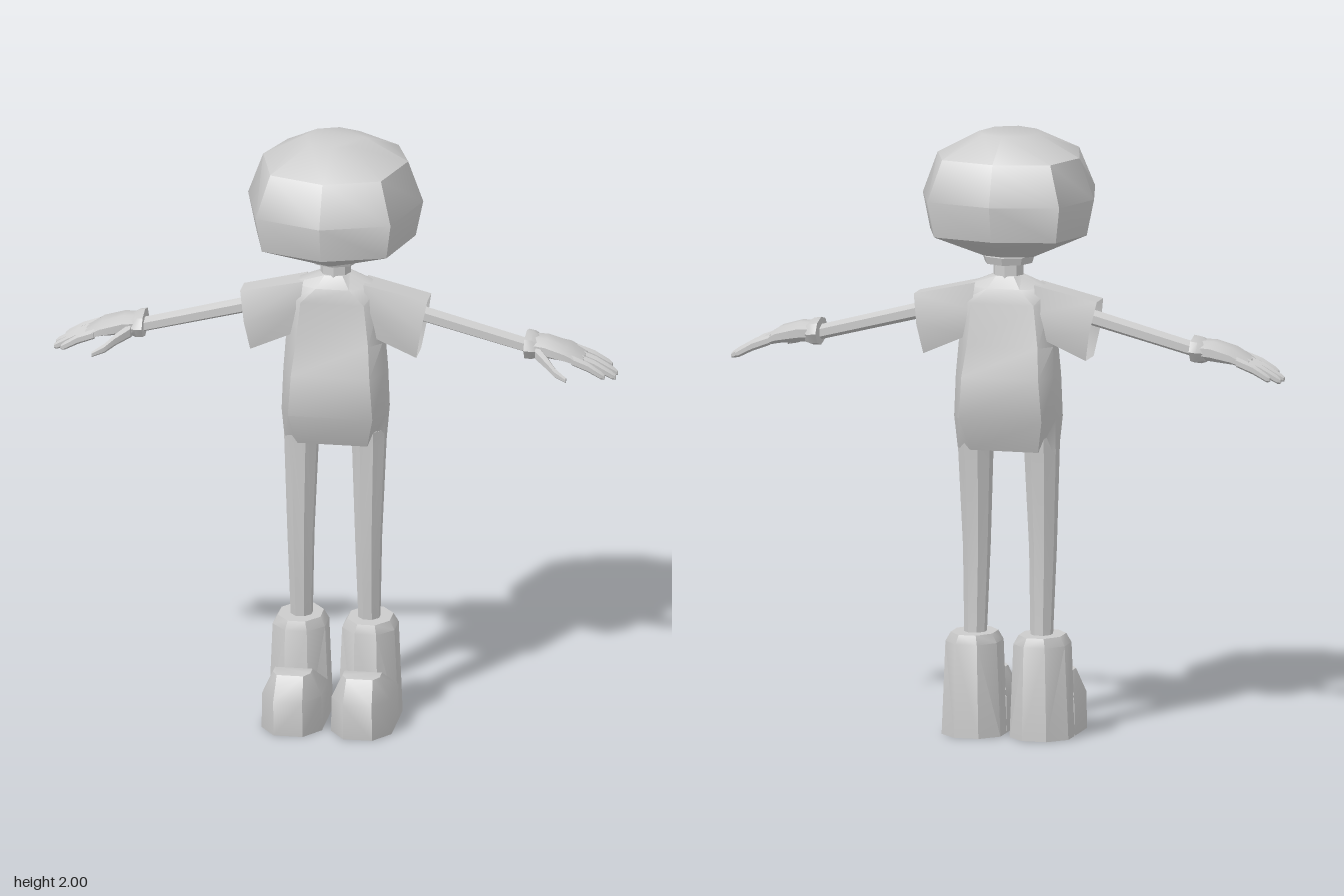
import * as THREE from 'three';
import { toCreasedNormals } from 'three/addons/utils/BufferGeometryUtils.js';

const MID_Z = -0.045; // depth of the body's centre line

// Skin a list of equal-length rings of [x, y, z]; winding is corrected to face outward.
function loft(rings, { capped = true, crease = 0.7 } = {}) {
  const n = rings[0].length;
  const points = rings.flat();
  const faces = [];
  for (let r = 0; r < rings.length - 1; r++) {
    for (let i = 0; i < n; i++) {
      const a = r * n + i, b = r * n + (i + 1) % n;
      faces.push([a, b, b + n], [a, b + n, a + n]);
    }
  }
  if (capped) {
    const last = (rings.length - 1) * n;
    for (let i = 1; i < n - 1; i++) faces.push([0, i + 1, i], [last, last + i, last + i + 1]);
  }
  const v = points.map((p) => new THREE.Vector3(...p));
  const centre = v.reduce((s, p) => s.add(p), new THREE.Vector3()).divideScalar(v.length);
  const rel = v.map((p) => p.clone().sub(centre));
  let volume = 0;
  for (const [a, b, c] of faces) volume += rel[a].dot(rel[b].clone().cross(rel[c]));
  if (volume < 0) faces.forEach((f) => f.reverse());
  const geometry = new THREE.BufferGeometry();
  geometry.setAttribute('position', new THREE.Float32BufferAttribute(points.flat(), 3));
  geometry.setIndex(faces.flat());
  return toCreasedNormals(geometry, crease);
}

// Elliptical rings standing across the x axis: [x, y, z, ry, rz]
const acrossX = (sections, n, side, phase = 0) => sections.map(([x, y, z, ry, rz]) =>
  Array.from({ length: n }, (_, i) => {
    const a = (i / n) * Math.PI * 2 + phase;
    return [x * side, y + ry * Math.cos(a), z + rz * Math.sin(a)];
  }));

// Flat elliptical rings stacked along y: [x, y, z, rx, rz]
const acrossY = (sections, n, side = 1, phase = 0) => sections.map(([x, y, z, rx, rz]) =>
  Array.from({ length: n }, (_, i) => {
    const a = (i / n) * Math.PI * 2 + phase;
    return [(x + rx * Math.cos(a)) * side, y, z + rz * Math.sin(a)];
  }));

export function createModel() {
  const model = new THREE.Group();
  const grey = new THREE.MeshStandardMaterial({ color: 0xcccccc });
  const greyOpen = new THREE.MeshStandardMaterial({ color: 0xcccccc, side: THREE.DoubleSide });
  const add = (name, geometry, parent = model, material = grey) => {
    const mesh = new THREE.Mesh(geometry, material);
    mesh.name = name;
    parent.add(mesh);
  };

  // Head: boxy octagonal rings [y, half width, front z, back z, corner bulge]
  const headRings = [
    [1.59, 0.085, 0.08, -0.10, 1], [1.67, 0.265, 0.26, -0.26, 1.1],
    [1.79, 0.29, 0.29, -0.29, 1.09], [1.925, 0.24, 0.225, -0.245, 1.08],
    [2.0, 0.1, 0.08, -0.13, 1],
  ].map(([y, w, front, back, bulge]) => Array.from({ length: 8 }, (_, i) => {
    const a = (i / 8) * Math.PI * 2;
    const k = i % 2 ? bulge : 1;
    const c = Math.cos(a), s = Math.sin(a);
    return [w * c * k, y, (s > 0 ? front : -back) * s * k + MID_Z * c ** 4];
  }));
  add('head', loft(headRings));
  add('collar', loft(acrossY([[0, 1.57, MID_Z, 0.08, 0.08], [0, 1.595, MID_Z, 0.088, 0.088]], 8)));
  add('neck', loft(acrossY([[0, 1.48, MID_Z, 0.052, 0.05], [0, 1.58, MID_Z, 0.05, 0.047]], 8)));

  // Torso: [y, panel half width, side half width, front z, back z]
  const torsoRings = [
    [0.95, 0.115, 0.165, 0.02, -0.10], [1.06, 0.14, 0.172, 0.07, -0.15],
    [1.2, 0.13, 0.166, 0.07, -0.155], [1.3, 0.12, 0.16, 0.035, -0.125],
    [1.44, 0.105, 0.15, 0.03, -0.12], [1.49, 0.055, 0.145, 0.025, -0.11],
    [1.53, 0.03, 0.05, 0.0, -0.09],
  ].map(([y, p, s, f, b]) => {
    const q = (f - b) * 0.2;
    return [[p, y, f], [s, y, MID_Z + q], [s, y, MID_Z - q], [p, y, b],
      [-p, y, b], [-s, y, MID_Z - q], [-s, y, MID_Z + q], [-p, y, f]];
  });
  add('torso', loft(torsoRings));

  for (const side of [1, -1]) {
    const label = side > 0 ? 'left' : 'right';

    // Sleeve: open flared rings [top x, top y, bottom x, bottom y, half depths top / middle / bottom]
    const sleeve = [
      [0.1, 1.505, 0.12, 1.33, 0.05, 0.06, 0.05],
      [0.31, 1.457, 0.275, 1.262, 0.04, 0.072, 0.05],
    ].map(([tx, ty, bx, by, t, m, b]) => {
      const mx = (tx + bx) / 2 * side, my = (ty + by) / 2;
      return [[tx * side, ty, MID_Z + t], [mx, my, MID_Z + m], [bx * side, by, MID_Z + b],
        [bx * side, by, MID_Z - b], [mx, my, MID_Z - m], [tx * side, ty, MID_Z - t]];
    });
    add(label + 'Sleeve', loft(sleeve, { capped: false }), model, greyOpen);

    add(label + 'Arm', loft(acrossX([
      [0.15, 1.435, MID_Z - 0.003, 0.028, 0.033], [0.66, 1.302, MID_Z - 0.003, 0.025, 0.033],
    ], 6, side)));

    // Glove: cuff, palm, four fingers and a thumb
    const hand = new THREE.Group();
    hand.name = label + 'Hand';
    model.add(hand);
    add('cuff', loft(acrossX([
      [0.632, 1.313, -0.052, 0.046, 0.075], [0.655, 1.31, -0.052, 0.045, 0.072],
      [0.675, 1.307, -0.052, 0.036, 0.056],
    ], 8, side)), hand);
    add('palm', loft(acrossX([
      [0.65, 1.312, -0.052, 0.034, 0.056], [0.70, 1.31, -0.05, 0.036, 0.068],
      [0.77, 1.296, -0.048, 0.028, 0.08], [0.825, 1.272, -0.05, 0.015, 0.074],
    ], 8, side, Math.PI / 8)), hand);
    const fingers = [[-0.108, -0.116, 0.905], [-0.07, -0.072, 0.93], [-0.03, -0.03, 0.93], [0.008, 0.014, 0.9]];
    for (const [z0, z1, tip] of fingers) {
      const drop = (tip - 0.79) * 0.46;
      add('finger', loft(acrossX([
        [0.79, 1.285, z0, 0.017, 0.018], [(0.79 + tip) / 2, 1.29 - drop / 2, (z0 + z1) / 2, 0.017, 0.015],
        [tip - 0.012, 1.291 - drop, z1, 0.014, 0.013], [tip, 1.286 - drop, z1, 0.008, 0.008],
      ], 6, side)), hand);
    }
    add('thumb', loft(acrossX([
      [0.67, 1.3, -0.01, 0.025, 0.035], [0.715, 1.282, 0.045, 0.02, 0.026],
      [0.745, 1.262, 0.075, 0.016, 0.018], [0.785, 1.245, 0.095, 0.009, 0.009],
    ], 6, side)), hand);

    // Leg
    add(label + 'Leg', loft(acrossY([
      [0.112, 1.0, -0.04, 0.06, 0.068], [0.112, 0.95, -0.04, 0.058, 0.064],
      [0.112, 0.62, -0.027, 0.045, 0.052], [0.112, 0.3, MID_Z, 0.036, 0.041],
    ], 8, side, Math.PI / 8)));

    // Boot: octagonal shaft with a rounded block toe
    const boot = new THREE.Group();
    boot.name = label + 'Boot';
    model.add(boot);
    add('shaft', loft(acrossY([
      [0.115, 0, MID_Z, 0.108, 0.113], [0.115, 0.31, MID_Z, 0.094, 0.113],
      [0.115, 0.34, MID_Z, 0.076, 0.1],
    ], 8, side, Math.PI / 8)), boot);
    // Toe: [y, half width, front half width, back z, shoulder z, front z]
    const toe = [
      [0, 0.1, 0.048, -0.01, 0.14, 0.215], [0.12, 0.098, 0.048, -0.01, 0.145, 0.226],
      [0.197, 0.062, 0.044, 0.1, 0.145, 0.178],
    ].map(([y, h, f, back, mid, front]) => [
      [h, back], [h, mid], [f, front], [-f, front], [-h, mid], [-h, back],
    ].map(([x, z]) => [(0.115 + x) * side, y, z]));
    add('toe', loft(toe), boot);
  }
  return model;
}
